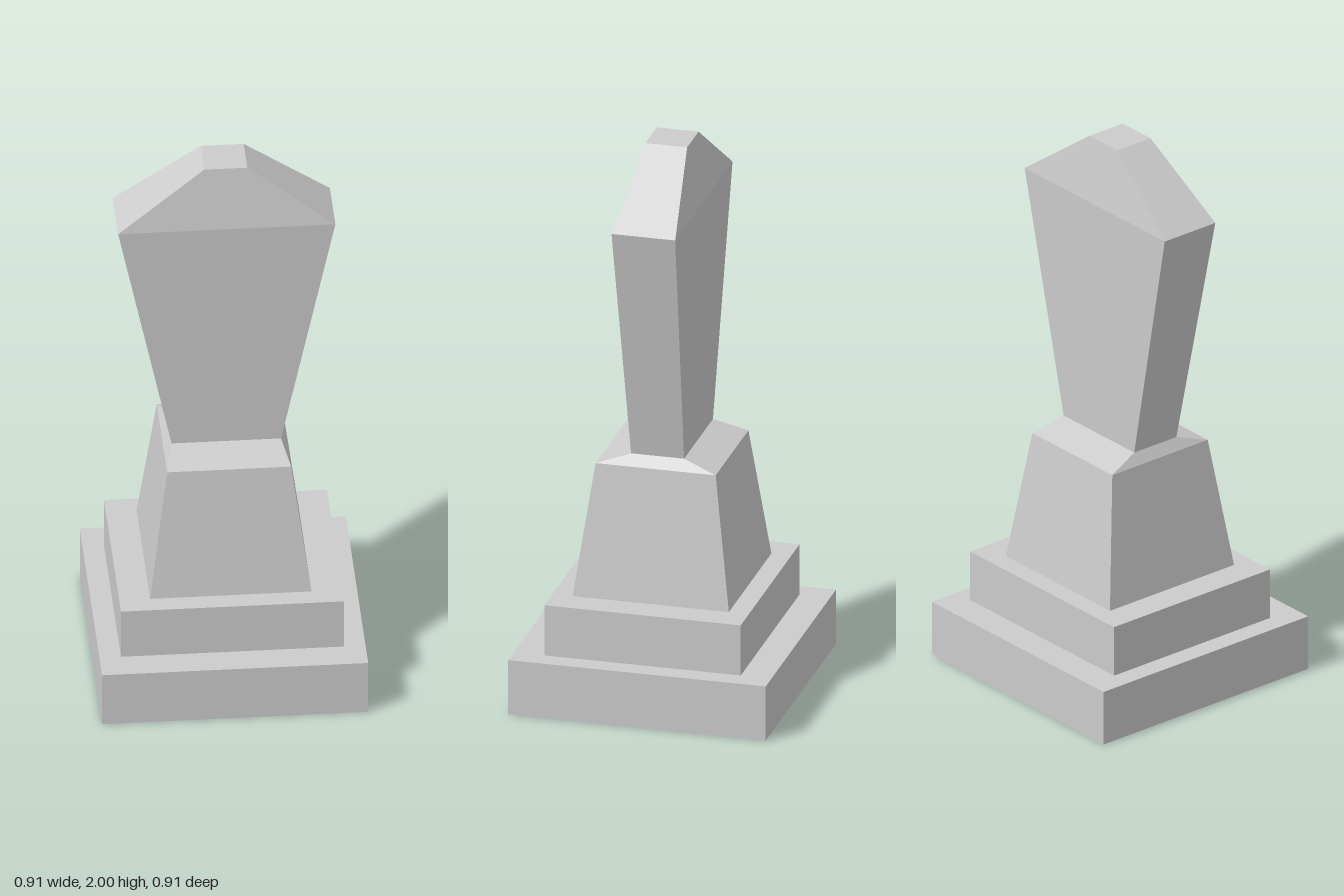
import * as THREE from 'three';

// Box whose top and bottom rectangles differ; all sizes are half-widths.
function taperedBlock(name, [y0, x0, z0], [y1, x1, z1]) {
  const box = new THREE.BoxGeometry(2, 2, 2);
  const p = box.attributes.position;
  for (let i = 0; i < p.count; i++) {
    const top = p.getY(i) > 0;
    p.setXYZ(i, p.getX(i) * (top ? x1 : x0), top ? y1 : y0, p.getZ(i) * (top ? z1 : z0));
  }
  const geometry = box.toNonIndexed();
  geometry.computeVertexNormals();
  const material = new THREE.MeshStandardMaterial({ color: 0xcccccc, flatShading: true });
  const mesh = new THREE.Mesh(geometry, material);
  mesh.name = name;
  return mesh;
}

export function createModel() {
  const model = new THREE.Group();
  model.name = 'monument';

  // Each block: name, bottom [y, halfX, halfZ], top [y, halfX, halfZ]
  const blocks = [
    ['basePlinth', [0, 0.457, 0.457], [0.2, 0.457, 0.457]],
    ['upperPlinth', [0.2, 0.383, 0.348], [0.385, 0.383, 0.348]],
    ['pedestal', [0.385, 0.277, 0.277], [0.858, 0.213, 0.213]],
    ['shoulder', [0.858, 0.213, 0.213], [0.897, 0.188, 0.094]],
    ['flaredShaft', [0.897, 0.188, 0.094], [1.777, 0.373, 0.113]],
    ['cap', [1.777, 0.373, 0.113], [2, 0.074, 0.074]],
  ];
  for (const block of blocks) model.add(taperedBlock(...block));

  return model;
}
